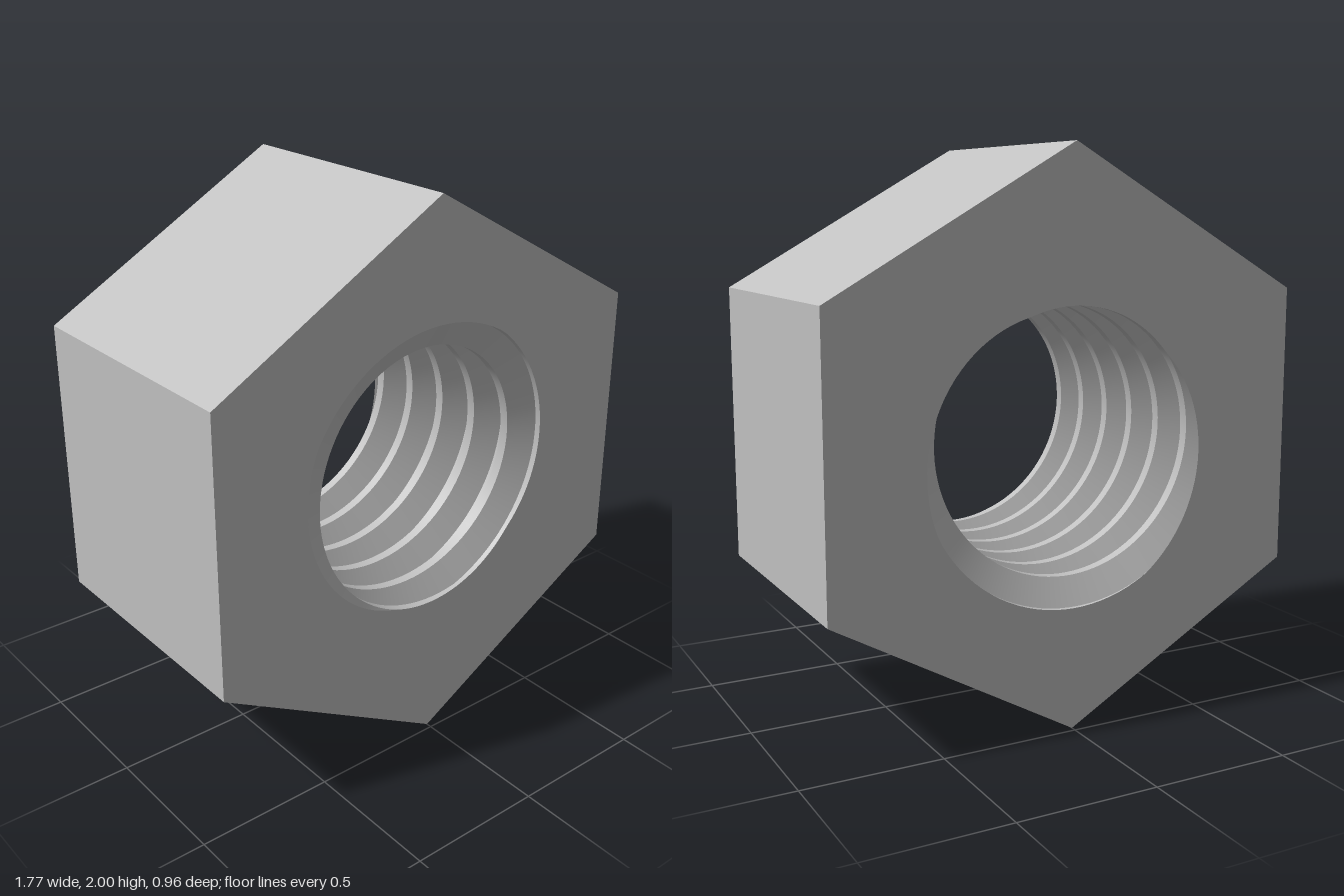
import * as THREE from 'three';
import { toCreasedNormals } from 'three/addons/utils/BufferGeometryUtils.js';

const HALF = 0.48;            // half thickness
const WIDE = 0.885;           // half width across flats
const MINOR = 0.468, MAJOR = 0.567;
const PITCH = 0.96 / 5.5;
const PHASE = THREE.MathUtils.degToRad(105); // where the groove meets the front
const SEGMENTS = 96;
const STOPS = [-0.4, -0.13, 0.13, 0.4];      // profile corners, in pitches from the root

// height of the groove's middle at an angle (right-hand helix)
const rootZ = (a) => HALF + (PITCH * (a - PHASE)) / (2 * Math.PI);

// trapezoidal thread profile
function boreRadius(a, z) {
  const t = (z - rootZ(a)) / PITCH;
  const d = Math.abs(t - Math.round(t));
  const k = THREE.MathUtils.clamp((0.4 - d) / 0.27, 0, 1);
  return MINOR + (MAJOR - MINOR) * k;
}

// threaded wall: rows follow the helix and are cut off at both faces
function threadGeometry() {
  const positions = [];
  const rows = [];
  for (let turn = -8; turn <= 3; turn++) for (const s of STOPS) rows.push((turn + s) * PITCH);
  const point = (i, row) => {
    const a = (i / SEGMENTS) * Math.PI * 2;
    const z = THREE.MathUtils.clamp(rootZ(a) + row, -HALF, HALF);
    const r = boreRadius(a, z);
    return new THREE.Vector3(r * Math.cos(a), r * Math.sin(a), z);
  };
  const triangle = (a, b, c) => {
    if (new THREE.Triangle(a, b, c).getArea() < 1e-8) return;
    for (const p of [a, b, c]) positions.push(p.x, p.y, p.z);
  };
  for (let i = 0; i < SEGMENTS; i++) {
    for (let j = 0; j < rows.length - 1; j++) {
      const a = point(i, rows[j]), b = point(i + 1, rows[j]);
      const c = point(i + 1, rows[j + 1]), d = point(i, rows[j + 1]);
      triangle(a, d, b);
      triangle(b, d, c);
    }
  }
  const geometry = new THREE.BufferGeometry();
  geometry.setAttribute('position', new THREE.Float32BufferAttribute(positions, 3));
  return toCreasedNormals(geometry, 0.5);
}

// hexagonal face whose hole follows the thread where it runs out
function faceGeometry(z) {
  const shape = new THREE.Shape([
    [0, -1], [WIDE, -0.5], [WIDE, 0.5], [0, 1], [-WIDE, 0.5], [-WIDE, -0.5],
  ].map(([x, y]) => new THREE.Vector2(x, y)));
  const hole = [];
  for (let i = 0; i < SEGMENTS; i++) {
    const a = (i / SEGMENTS) * Math.PI * 2;
    const r = boreRadius(a, z);
    hole.push(new THREE.Vector2(r * Math.cos(a), r * Math.sin(a)));
  }
  shape.holes.push(new THREE.Path(hole));
  const geometry = new THREE.ShapeGeometry(shape);
  // turn the back face's triangles around
  if (z < 0) {
    const index = geometry.index;
    for (let i = 0; i < index.count; i += 3) {
      const b = index.getX(i + 1);
      index.setX(i + 1, index.getX(i + 2));
      index.setX(i + 2, b);
    }
    geometry.computeVertexNormals();
  }
  return geometry.translate(0, 0, z);
}

// six flat outer sides
function sidesGeometry() {
  const geometry = new THREE.CylinderGeometry(1, 1, HALF * 2, 6, 1, true).toNonIndexed();
  geometry.rotateX(Math.PI / 2);
  geometry.scale(WIDE / Math.sin(Math.PI / 3), 1, 1);
  geometry.computeVertexNormals();
  return geometry;
}

export function createModel() {
  const group = new THREE.Group();
  group.name = 'hexNut';
  const steel = new THREE.MeshStandardMaterial({ color: 0xc0c0c0 });
  steel.name = 'steelGrey';
  const add = (name, geometry) => {
    const mesh = new THREE.Mesh(geometry, steel);
    mesh.name = name;
    mesh.position.y = 1;
    group.add(mesh);
  };
  add('hexSides', sidesGeometry());
  add('frontFace', faceGeometry(HALF));
  add('backFace', faceGeometry(-HALF));
  add('threadedBore', threadGeometry());
  return group;
}
